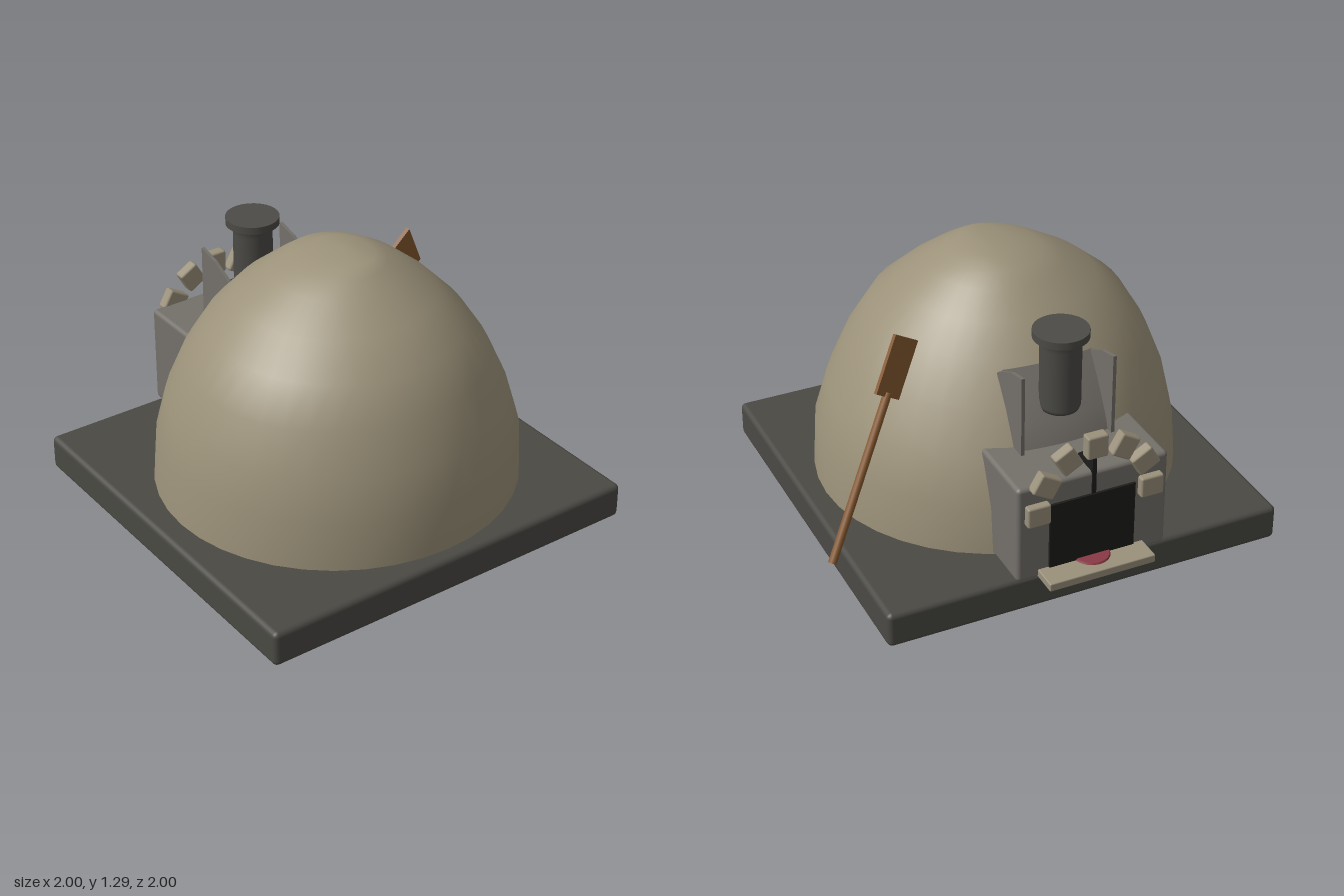
import * as THREE from 'three';
import { RoundedBoxGeometry } from 'three/addons/geometries/RoundedBoxGeometry.js';

const mat = (color, side = THREE.FrontSide) => new THREE.MeshStandardMaterial({ color, side });
const M = {
  slab: mat(0x4a4944), clay: mat(0x9c927a), stone: mat(0x74706a), brick: mat(0x9b917c),
  iron: mat(0x4c4b47), dark: mat(0x1c1c1a), ember: mat(0x8a3a45), wood: mat(0x85582f),
  sheet: mat(0x74706a, THREE.DoubleSide),
};

export function createModel() {
  const model = new THREE.Group();
  const add = (name, geometry, material, x = 0, y = 0, z = 0) => {
    const mesh = new THREE.Mesh(geometry, material);
    mesh.name = name;
    mesh.position.set(x, y, z);
    model.add(mesh);
    return mesh;
  };
  // rounded box given by its limits
  const block = (name, material, x0, x1, y0, y1, z0, z1, r) => add(name,
    new RoundedBoxGeometry(x1 - x0, y1 - y0, z1 - z0, 2, r), material,
    (x0 + x1) / 2, (y0 + y1) / 2, (z0 + z1) / 2);
  // plate drawn in (z, y), with its thickness along x
  const sidePlate = (name, shape, depth, material, x) => {
    const g = new THREE.ExtrudeGeometry(shape, { depth, bevelEnabled: false, curveSegments: 16 });
    g.translate(0, 0, -depth / 2);
    g.rotateY(-Math.PI / 2);
    return add(name, g, material, x);
  };

  block('baseSlab', M.slab, -1, 0.9, 0, 0.17, -0.86, 1, 0.025);

  // dome
  add('dome', domeGeometry(), M.clay);

  // oven mouth
  block('mouthBlock', M.stone, -0.41, 0.31, 0.17, 0.65, -0.88, -0.42, 0.02);
  block('mouthOpening', M.dark, -0.25, 0.16, 0.18, 0.54, -0.89, -0.82, 0.003);
  block('sill', M.brick, -0.3, 0.21, 0.175, 0.215, -1, -0.86, 0.006);
  add('embers', new THREE.CylinderGeometry(0.08, 0.09, 0.02, 20), M.ember, -0.05, 0.213, -0.875);

  // thin dark fin over the mouth
  const fin = new THREE.Shape();
  fin.moveTo(-0.885, 0.54);
  fin.lineTo(-0.7, 0.54);
  fin.absarc(-0.885, 0.54, 0.185, 0, Math.PI / 2, false);
  sidePlate('mouthFin', fin, 0.02, M.dark, -0.05);

  // arch stones
  for (let i = 0; i < 7; i++) {
    const a = (i * Math.PI) / 6;
    const stone = add('archStone', new RoundedBoxGeometry(0.11, 0.1, 0.055, 1, 0.01), M.brick,
      -0.05 + 0.27 * Math.cos(a), 0.515 + 0.275 * Math.sin(a), -0.888);
    stone.rotation.z = a;
  }

  // chimney hood: two cheeks and a curved lining against the dome
  const cheek = new THREE.Shape([[-0.645, 0.64], [-0.3, 0.64], [-0.3, 0.85], [-0.43, 0.955],
    [-0.54, 1.01], [-0.645, 1.035]].map(([z, y]) => new THREE.Vector2(z, y)));
  for (const x of [-0.262, 0.172]) sidePlate('hoodCheek', cheek, 0.016, M.sheet, x);
  const lining = new THREE.PlaneGeometry(0.43, 1, 10, 6);
  const p = lining.attributes.position;
  for (let i = 0; i < p.count; i++) {
    const x = p.getX(i), t = p.getY(i) + 0.5;
    const bulge = 0.02 * (1 - (x / 0.215) ** 2);
    p.setXYZ(i, x - 0.045, 0.64 + 0.32 * t, -0.615 + 0.185 * t ** 1.25 - bulge);
  }
  lining.computeVertexNormals();
  add('hoodLining', lining, M.sheet);

  // chimney
  const flue = [[0, 0.79], [0.085, 0.79], [0.092, 0.81], [0.092, 1.1], [0.105, 1.14]];
  add('chimney', new THREE.LatheGeometry(flue.map(([r, y]) => new THREE.Vector2(r, y)), 28),
    M.iron, -0.05, 0, -0.55);
  add('chimneyCap', new THREE.CylinderGeometry(0.125, 0.125, 0.035, 28), M.iron, -0.05, 1.158, -0.55);

  // baker's peel leaning on the dome
  const peel = new THREE.Group();
  peel.name = 'peel';
  const along = new THREE.Vector3(-0.47, 0.84, 0.27).normalize();
  const across = new THREE.Vector3(0.8, 0.5, -0.17);
  across.addScaledVector(along, -across.dot(along)).normalize();
  const normal = new THREE.Vector3().crossVectors(across, along);
  peel.quaternion.setFromRotationMatrix(new THREE.Matrix4().makeBasis(across, along, normal));
  peel.position.set(0.98, 0.19, -0.43);
  const handle = new THREE.Mesh(new THREE.CylinderGeometry(0.02, 0.02, 0.78, 12), M.wood);
  handle.name = 'peelHandle';
  handle.position.y = 0.39;
  const blade = new THREE.Mesh(new THREE.BoxGeometry(0.135, 0.27, 0.018), M.wood);
  blade.name = 'peelBlade';
  blade.position.y = 0.895;
  peel.add(handle, blade);
  model.add(peel);
  return model;
}

// stacked oval rings: [y, right x, left x, back z, front z]
function domeGeometry() {
  const rings = [
    [0.16, -0.89, 0.8, -0.72, 0.935], [0.4, -0.875, 0.785, -0.7, 0.93],
    [0.6, -0.835, 0.72, -0.635, 0.885], [0.8, -0.76, 0.625, -0.54, 0.81],
    [0.97, -0.66, 0.51, -0.43, 0.715], [1.1, -0.51, 0.385, -0.32, 0.56],
    [1.2, -0.35, 0.26, -0.2, 0.42], [1.25, -0.25, 0.17, -0.13, 0.34],
    [1.28, -0.12, 0.1, -0.03, 0.28], [1.285, -0.02, 0.01, 0.1, 0.13],
  ];
  const n = 40, pos = [], index = [];
  for (const [y, x0, x1, z0, z1] of rings) {
    for (let i = 0; i < n; i++) {
      const a = (i / n) * Math.PI * 2;
      pos.push((x0 + x1) / 2 + ((x1 - x0) / 2) * Math.cos(a), y,
        (z0 + z1) / 2 + ((z1 - z0) / 2) * Math.sin(a));
    }
  }
  for (let r = 0; r < rings.length - 1; r++) {
    for (let i = 0; i < n; i++) {
      const a = r * n + i, b = r * n + ((i + 1) % n);
      index.push(a, a + n, b, b, a + n, b + n);
    }
  }
  // close the crown
  const last = (rings.length - 1) * n;
  pos.push(0, 1.286, 0.115);
  for (let i = 0; i < n; i++) index.push(last + i, last + n, last + ((i + 1) % n));
  const g = new THREE.BufferGeometry();
  g.setAttribute('position', new THREE.Float32BufferAttribute(pos, 3));
  g.setIndex(index);
  g.computeVertexNormals();
  return g;
}
